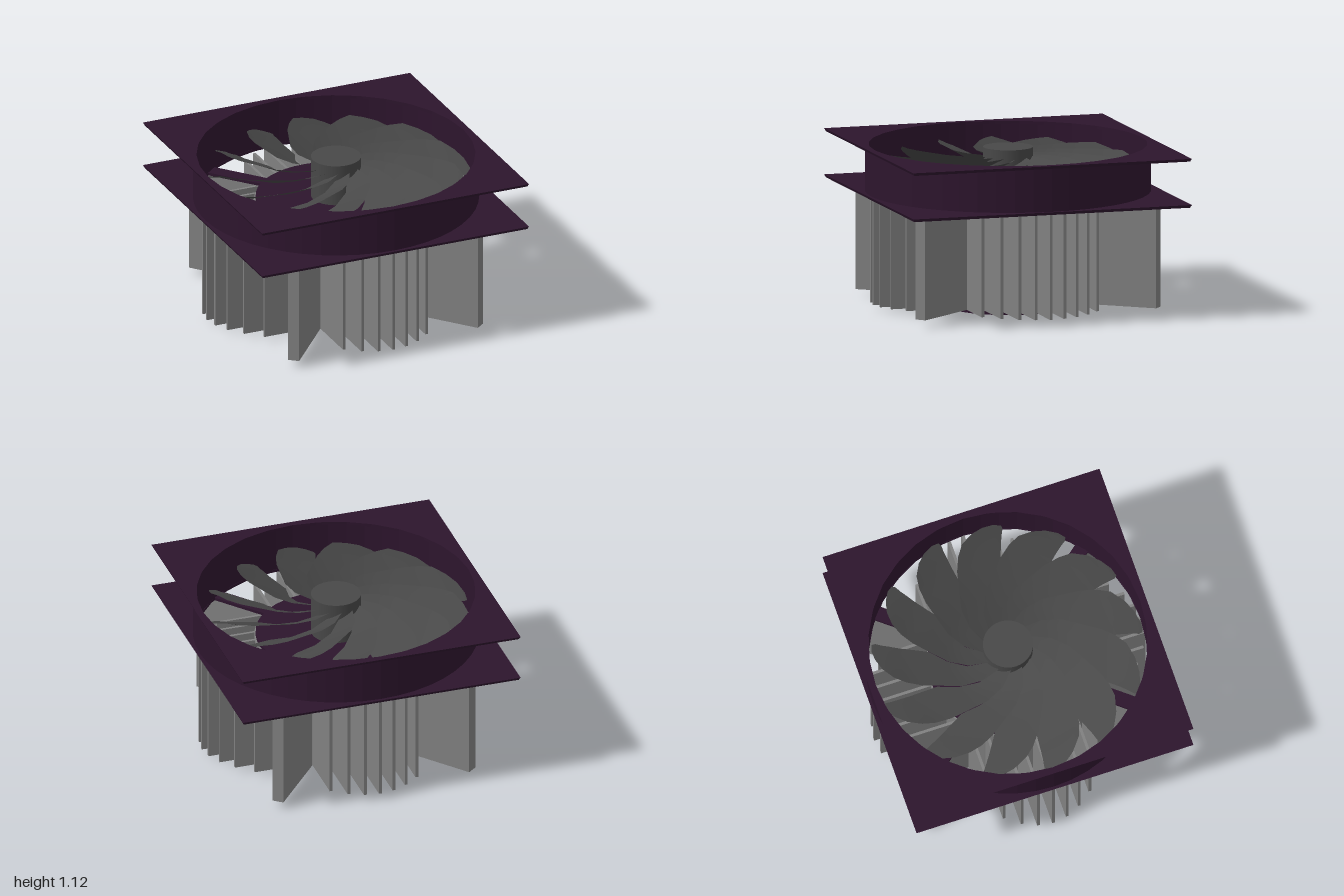
import * as THREE from 'three';

const mat = (color, flat = false) =>
  new THREE.MeshStandardMaterial({ color, flatShading: flat, side: THREE.DoubleSide });
const frameMat = mat(0x2d152d), finMat = mat(0x808080, true), fanMat = mat(0x484848);

function add(parent, name, geo, material, x = 0, y = 0, z = 0) {
  const m = new THREE.Mesh(geo, material);
  m.name = name;
  m.position.set(x, y, z);
  parent.add(m);
  return m;
}

// Square flange with a round opening, lying flat from y = 0 upwards
function flangeGeometry() {
  const s = new THREE.Shape();
  s.moveTo(-0.99, -0.99).lineTo(0.99, -0.99).lineTo(0.99, 0.99).lineTo(-0.99, 0.99).closePath();
  const hole = new THREE.Path();
  hole.absarc(0, 0, 0.955, 0, Math.PI * 2, true);
  s.holes.push(hole);
  const g = new THREE.ExtrudeGeometry(s, { depth: 0.02, bevelEnabled: false, curveSegments: 16 });
  g.rotateX(-Math.PI / 2);
  // the outer edge slopes out to a sharp lip at the top
  const p = g.attributes.position;
  for (let i = 0; i < p.count; i++) {
    if (p.getY(i) > 0.01 && Math.abs(p.getX(i)) > 0.98 && Math.abs(p.getZ(i)) > 0.98) {
      p.setX(i, Math.sign(p.getX(i)));
      p.setZ(i, Math.sign(p.getZ(i)));
    }
  }
  g.computeVertexNormals();
  return g;
}

// Swept, pitched blade: rows of [radius, leading angle, trailing angle] in degrees
function bladeGeometry() {
  const rows = [
    [0.15, -28, 8], [0.3, -8, 25], [0.42, 4, 38], [0.54, 15, 48], [0.65, 21, 49],
    [0.74, 26, 49.5], [0.81, 30.5, 50], [0.87, 36.5, 50.5], [0.91, 42, 51], [0.935, 47, 50.5],
  ];
  const cols = 6, pos = [], idx = [];
  rows.forEach(([r, lead, trail], i) => {
    for (let j = 0; j <= cols; j++) {
      const a = THREE.MathUtils.degToRad(lead + (trail - lead) * j / cols);
      // height falls with the distance swept behind the leading line
      const drop = Math.min(0.14, r * (trail - lead) * 0.0085) * j / cols;
      const tip = i > 6 ? 0.14 - Math.min(0.14, r * (trail - lead) * 0.0085) : 0;
      pos.push(r * Math.sin(a), 1.04 - tip - drop, -r * Math.cos(a));
    }
  });
  const w = cols + 1;
  for (let i = 0; i < rows.length - 1; i++) {
    for (let j = 0; j < cols; j++) {
      const a = i * w + j;
      idx.push(a, a + 1, a + w, a + 1, a + w + 1, a + w);
    }
  }
  const g = new THREE.BufferGeometry();
  g.setAttribute('position', new THREE.Float32BufferAttribute(pos, 3));
  g.setIndex(idx);
  g.computeVertexNormals();
  return g;
}

export function createModel() {
  const model = new THREE.Group();
  model.name = 'cooler';

  // Fan frame: two flanges joined by a round duct
  const frame = new THREE.Group();
  frame.name = 'fanFrame';
  model.add(frame);
  const flange = flangeGeometry();
  add(frame, 'lowerFlange', flange, frameMat, 0, 0.78, 0);
  add(frame, 'upperFlange', flange, frameMat, 0, 1.1, 0);
  const duct = [[0.955, 0.78], [0.98, 0.78], [0.98, 1.12], [0.955, 1.12], [0.955, 0.78]];
  const ductMat = mat(0x2d152d, true);
  add(frame, 'duct', new THREE.LatheGeometry(duct.map(p => new THREE.Vector2(...p)), 48), ductMat);
  add(frame, 'motorMount', new THREE.CylinderGeometry(0.55, 0.55, 0.025, 48), frameMat, 0, 0.795, 0);

  // Heat sink: core, diagonal arms and parallel fins
  const sink = new THREE.Group();
  sink.name = 'heatSink';
  model.add(sink);
  const H = 0.73, midY = 0.05 + H / 2;
  add(sink, 'core', new THREE.CylinderGeometry(0.56, 0.56, H, 48), mat(0x808080), 0, midY, 0);
  const armAngle = Math.atan2(0.855, 0.7);
  for (const sx of [1, -1]) {
    for (const sz of [1, -1]) {
      const angle = Math.atan2(sz * Math.sin(armAngle), sx * Math.cos(armAngle));
      const place = (parent, name, len, h, w, r, y, m) => {
        const b = add(parent, name, new THREE.BoxGeometry(len, h, w), m,
          r * Math.cos(angle), y, r * Math.sin(angle));
        b.rotation.y = -angle;
      };
      place(sink, 'arm', 0.62, H, 0.08, 0.795, midY, finMat);
      place(frame, 'strut', 0.46, 0.02, 0.1, 0.75, 0.79, frameMat);
    }
  }
  const addFins = (half, alongX) => {
    for (let i = -half; i <= half; i++) {
      const off = i * 0.103;
      const outer = 0.97 - 1.45 * off * off;
      const inner = Math.sqrt(0.54 * 0.54 - off * off);
      const len = outer - inner, mid = (outer + inner) / 2;
      for (const s of [1, -1]) {
        if (alongX) add(sink, 'sideFin', new THREE.BoxGeometry(len, H, 0.02), finMat, s * mid, midY, off);
        else add(sink, 'frontBackFin', new THREE.BoxGeometry(0.02, H, len), finMat, off, midY, s * mid);
      }
    }
  };
  addFins(3, false);
  addFins(4, true);

  // Contact base under the core
  add(model, 'baseRim', new THREE.CylinderGeometry(0.425, 0.425, 0.05, 48, 1, true), frameMat, 0, 0.025, 0);
  add(model, 'contactPlate', new THREE.CylinderGeometry(0.42, 0.42, 0.05, 48), mat(0x808080), 0, 0.026, 0);

  // Fan: hub and thirteen overlapping blades
  const fan = new THREE.Group();
  fan.name = 'fan';
  model.add(fan);
  add(fan, 'hub', new THREE.CylinderGeometry(0.172, 0.172, 0.3, 32), fanMat, 0, 0.95, 0);
  const blade = bladeGeometry();
  for (let i = 0; i < 13; i++) {
    add(fan, 'blade', blade, fanMat).rotation.y = -i * Math.PI * 2 / 13;
  }
  return model;
}
